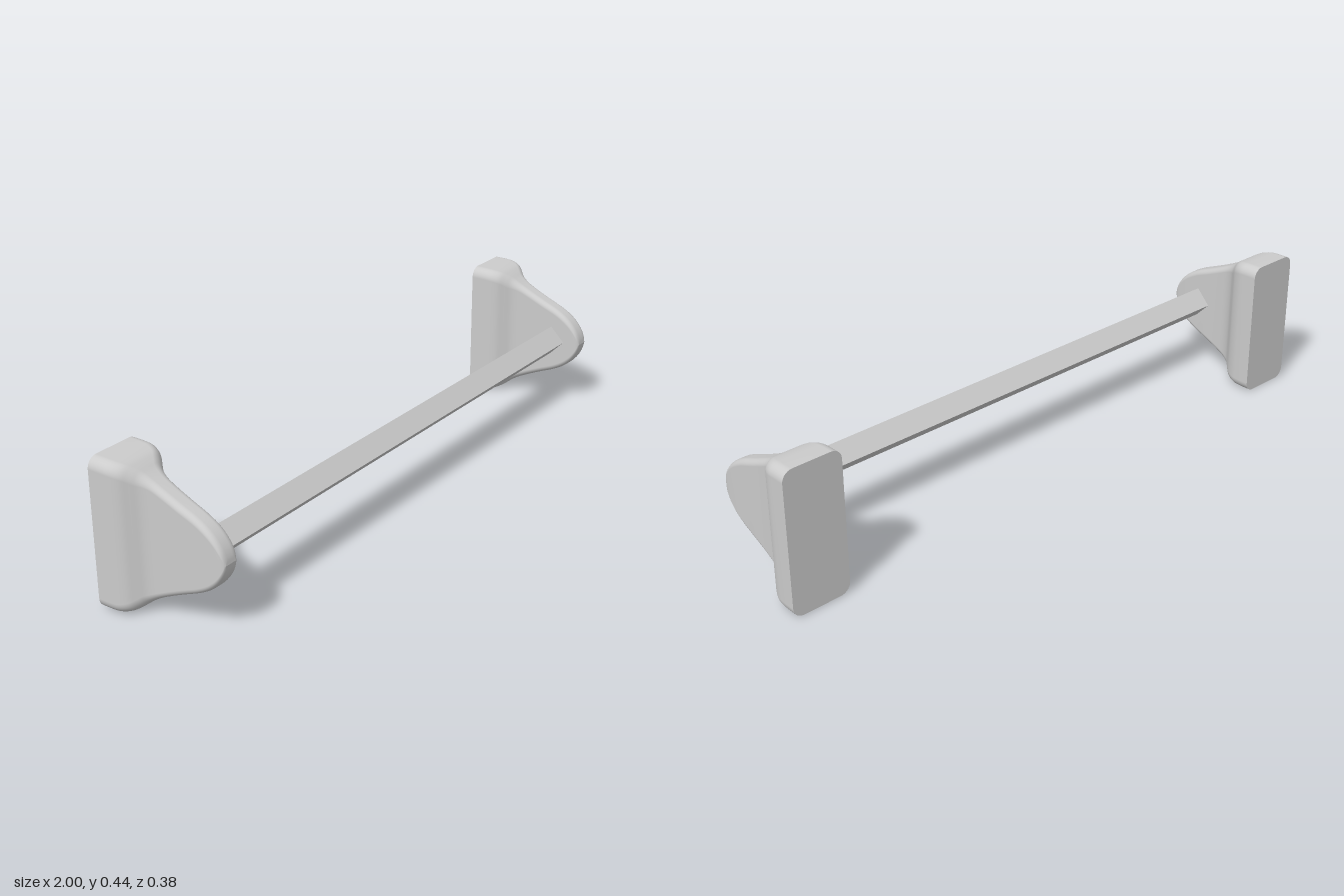
import * as THREE from 'three';

const MID_Y = 0.218;

// Rounded-rectangle outline, counter-clockwise, as [x, y] pairs
function roundedOutline(w, h, steps = 7) {
  const r = Math.min(0.032, w * 0.6, h);
  const pts = [];
  for (let c = 0; c < 4; c++) {
    const sx = c === 0 || c === 3 ? 1 : -1;
    const sy = c < 2 ? 1 : -1;
    for (let i = 0; i <= steps; i++) {
      const a = (c + i / steps) * Math.PI / 2;
      pts.push([sx * (w - r) + r * Math.cos(a), sy * (h - r) + r * Math.sin(a)]);
    }
  }
  return pts;
}

// Bracket lofted from wall plate to rounded tip: depth z, half width, half height
function bracketGeometry() {
  const profile = new THREE.CatmullRomCurve3([
    [-0.19, 0.091, 0.218], [-0.15, 0.091, 0.2175], [-0.125, 0.089, 0.2155],
    [-0.1, 0.079, 0.209], [-0.08, 0.062, 0.197], [-0.06, 0.045, 0.182],
    [-0.035, 0.035, 0.167], [0, 0.032, 0.15], [0.05, 0.031, 0.128],
    [0.1, 0.03, 0.107], [0.135, 0.03, 0.087], [0.16, 0.029, 0.065],
    [0.178, 0.027, 0.04], [0.187, 0.023, 0.018], [0.19, 0.019, 0],
  ].map((p) => new THREE.Vector3(...p)));
  const rings = profile.getPoints(70);
  const pos = [];
  const index = [];
  let n = 0;
  rings.forEach((p, i) => {
    const ring = roundedOutline(p.y, Math.max(p.z, 0));
    n = ring.length;
    ring.forEach(([x, y]) => pos.push(x, y, p.x));
    if (i === 0) return;
    for (let j = 0; j < n; j++) {
      const k = (j + 1) % n;
      const a = (i - 1) * n;
      const b = i * n;
      index.push(a + j, a + k, b + k, a + j, b + k, b + j);
    }
  });
  // Flat back, with its own vertices for a sharp rim
  const base = pos.length / 3;
  pos.push(...pos.slice(0, n * 3), 0, 0, -0.19);
  for (let j = 0; j < n; j++) index.push(base + n, base + (j + 1) % n, base + j);

  const geo = new THREE.BufferGeometry();
  geo.setAttribute('position', new THREE.Float32BufferAttribute(pos, 3));
  geo.setIndex(index);
  geo.computeVertexNormals();
  return geo;
}

export function createModel() {
  const group = new THREE.Group();
  group.name = 'towelRail';

  // Pair of wall brackets
  const geo = bracketGeometry();
  const smooth = new THREE.MeshStandardMaterial({ color: 0xcccccc });
  for (const [side, name] of [[1, 'leftBracket'], [-1, 'rightBracket']]) {
    const bracket = new THREE.Mesh(geo, smooth);
    bracket.name = name;
    bracket.position.set(side * 0.909, MID_Y, 0);
    group.add(bracket);
  }

  // Square bar set on edge between the brackets
  const bar = new THREE.Mesh(
    new THREE.CylinderGeometry(0.048, 0.048, 1.77, 4),
    new THREE.MeshStandardMaterial({ color: 0xcccccc, flatShading: true }),
  );
  bar.name = 'bar';
  bar.rotation.z = Math.PI / 2;
  bar.position.set(0, MID_Y, 0.088);
  group.add(bar);

  return group;
}
